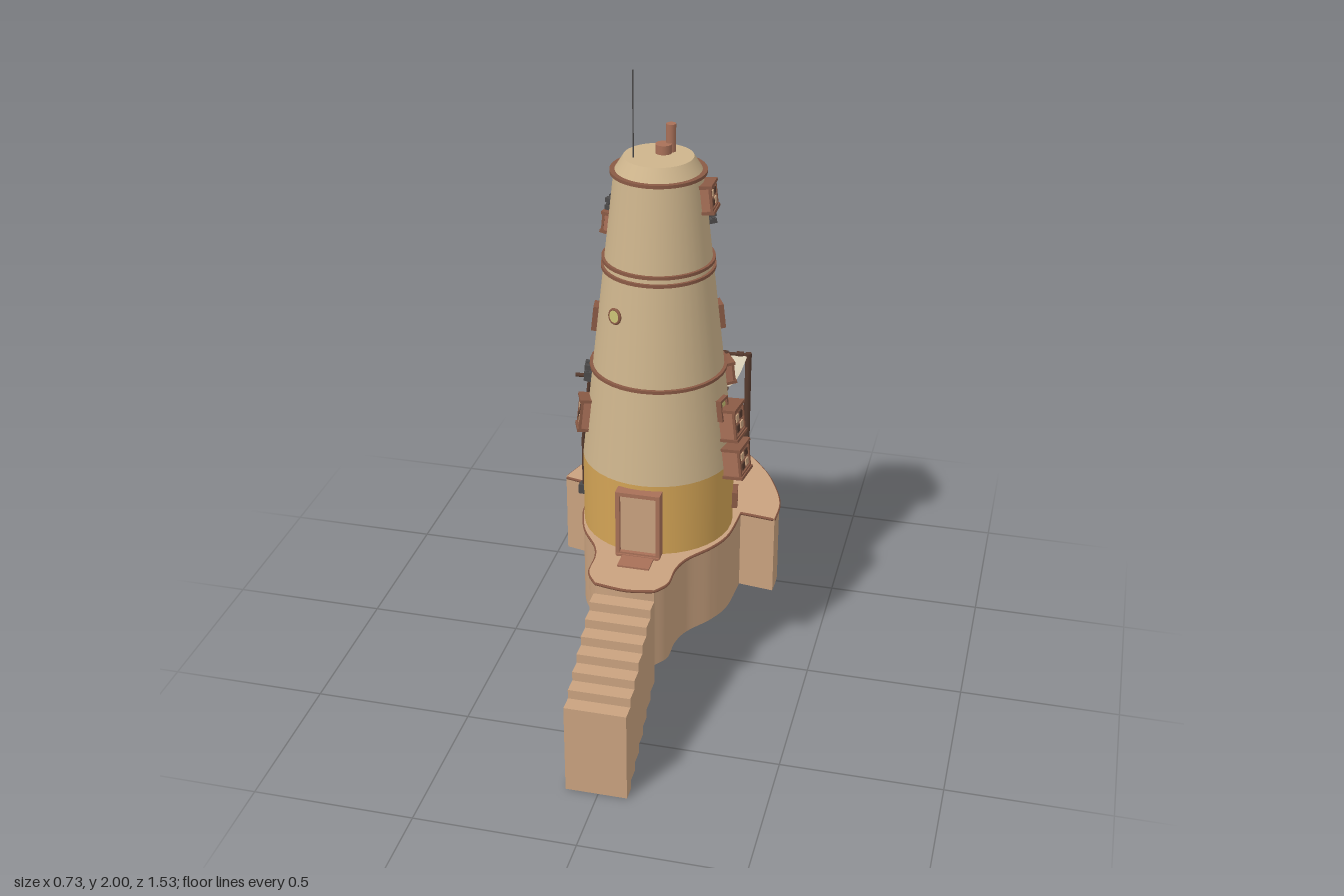
import * as THREE from 'three';

const mat = (color, double) => new THREE.MeshStandardMaterial({ color, side: double ? THREE.DoubleSide : THREE.FrontSide });
const M = {
  wall: mat(0xcdb48c), ochre: mat(0xd2a355), clay: mat(0xc9a27f), brown: mat(0xa87058), trim: mat(0x8a5a45),
  dark: mat(0x553a2e), metal: mat(0x4c4a4a), glass: mat(0xc4bd72), cloth: mat(0xdcd2ba, true),
};
const CX = -0.007, CZ = -0.022, TILT = 0.111;
const V = (x, y, z) => new THREE.Vector3(x, y, z);
const towerRadius = (y) => (y < 0.75 ? 0.238 : 0.238 - (y - 0.75) * 0.1117);

function add(parent, name, geo, material, x = 0, y = 0, z = 0) {
  const m = new THREE.Mesh(geo, material);
  m.name = name;
  m.position.set(x, y, z);
  parent.add(m);
  return m;
}
const box = (p, name, w, h, d, material, x, y, z) => add(p, name, new THREE.BoxGeometry(w, h, d), material, x, y, z);

// Straight round bar between two points
function bar(parent, name, a, b, r, material) {
  const m = add(parent, name, new THREE.CylinderGeometry(r, r, a.distanceTo(b), 8), material);
  m.position.copy(a).add(b).multiplyScalar(0.5);
  m.quaternion.setFromUnitVectors(V(0, 1, 0), b.clone().sub(a).normalize());
  return m;
}

// Group on the tower wall; degrees run from the front (+z) towards +x
function onWall(parent, name, deg, y) {
  const a = THREE.MathUtils.degToRad(deg), r = towerRadius(y), g = new THREE.Group();
  g.name = name;
  g.position.set(CX + Math.sin(a) * r, y, CZ + Math.cos(a) * r);
  g.rotation.set(y < 0.75 ? 0 : -TILT, a, 0, 'YXZ');
  parent.add(g);
  return g;
}

// Rectangular frame of four bars
function frame(g, w, h, t, d, z, material) {
  for (const s of [-1, 1]) {
    box(g, 'frameSide', t, h, d, material, s * (w - t) / 2, 0, z);
    box(g, 'frameRail', w, t, d, material, 0, s * (h - t) / 2, z);
  }
}

function wallWindow(parent, deg, y, w, h) {
  const g = onWall(parent, 'window', deg, y);
  box(g, 'pane', w * 0.9, h * 0.9, 0.016, M.glass, 0, 0, 0);
  frame(g, w, h, 0.008, 0.03, 0, M.trim);
}

// Projecting bay with hood, sill and small panes
function bay(parent, deg, y, w, h, d, cols = 2, rows = 2) {
  const g = onWall(parent, 'bay', deg, y);
  box(g, 'bayBody', w * 0.9, h * 0.9, d + 0.02, M.brown, 0, 0, d / 2 - 0.01);
  box(g, 'baySill', w, 0.01, d + 0.03, M.trim, 0, -h / 2, d / 2 - 0.007);
  box(g, 'bayHood', w, 0.01, d + 0.03, M.trim, 0, h / 2, d / 2 - 0.007);
  frame(g, w * 0.94, h * 0.94, 0.008, 0.008, d, M.trim);
  const pw = w * 0.7 / cols, ph = h * 0.7 / rows;
  for (let i = 0; i < cols; i++) for (let j = 0; j < rows; j++) {
    box(g, 'bayPane', pw * 0.65, ph * 0.65, 0.006, (i + j) % 2 ? M.clay : M.dark,
      (i - (cols - 1) / 2) * pw, (j - (rows - 1) / 2) * ph, d + 0.001);
  }
}

// Cluster of small pipes and vents
function vents(parent, deg, y) {
  const g = onWall(parent, 'vents', deg, y);
  for (const [x, v] of [[-0.012, 0.012], [0.013, 0.01], [-0.01, -0.012], [0.012, -0.014]])
    box(g, 'vent', 0.016, 0.014, 0.03, M.metal, x, v, 0.008);
  box(g, 'ventBar', 0.05, 0.005, 0.008, M.metal, 0, 0, 0.012);
}

function platform(root) {
  const curveTo = (s, pts) => s.splineThru(pts.map(([x, z]) => new THREE.Vector2(x, -z)));
  const s = new THREE.Shape();
  s.moveTo(-0.1, -0.41);
  curveTo(s, [[0, 0.425], [0.085, 0.41]]);
  curveTo(s, [[0.115, 0.36], [0.118, 0.28], [0.14, 0.21], [0.2, 0.125], [0.235, 0.04], [0.246, -0.1]]);
  s.lineTo(0.36, 0.085);
  curveTo(s, [[0.358, -0.18], [0.325, -0.28], [0.266, -0.39], [0.166, -0.5], [0, -0.555], [-0.16, -0.51],
    [-0.26, -0.41], [-0.325, -0.3], [-0.364, -0.186]]);
  s.lineTo(-0.25, 0.16);
  curveTo(s, [[-0.25, -0.02], [-0.238, 0.045], [-0.21, 0.125], [-0.157, 0.206], [-0.137, 0.267], [-0.133, 0.355], [-0.1, 0.41]]);
  const slab = new THREE.ExtrudeGeometry(s, { depth: 0.275, bevelEnabled: false, curveSegments: 40 });
  add(root, 'platform', slab.rotateX(-Math.PI / 2), M.clay, 0, 0.235, 0);
  // Thin dark edge along the top
  const pts = s.getPoints(12).map((p) => V(p.x, 0.505, -p.y));
  const path = new THREE.CurvePath();
  pts.forEach((p, i) => {
    const q = pts[(i + 1) % pts.length];
    if (p.distanceTo(q) > 1e-4) path.add(new THREE.LineCurve3(p, q));
  });
  add(root, 'platformRim', new THREE.TubeGeometry(path, 260, 0.005, 5, true), M.trim);
}

function tower(root) {
  const t = new THREE.Group();
  t.name = 'tower';
  root.add(t);
  add(t, 'lowerWall', new THREE.CylinderGeometry(0.238, 0.238, 0.25, 40, 1, true), M.ochre, CX, 0.625, CZ);
  add(t, 'upperWall', new THREE.CylinderGeometry(0.133, 0.238, 0.94, 40, 1, true), M.wall, CX, 1.22, CZ);
  add(t, 'roof', new THREE.CylinderGeometry(0.105, 0.133, 0.045, 40), M.wall, CX, 1.7125, CZ);
  for (const [y, r] of [[1.06, 0.213], [1.39, 0.174], [1.415, 0.172], [1.69, 0.145]])
    add(t, 'ring', new THREE.CylinderGeometry(r, r, 0.01, 40), M.trim, CX, y, CZ);

  // Chimney and mast
  add(t, 'chimneyBase', new THREE.CylinderGeometry(0.025, 0.025, 0.03, 16), M.brown, 0.002, 1.748, -0.048);
  add(t, 'chimney', new THREE.CylinderGeometry(0.015, 0.015, 0.085, 14), M.brown, 0.02, 1.778, -0.065);
  bar(t, 'mast', V(-0.075, 1.72, 0.012), V(-0.075, 2, 0.012), 0.002, M.metal);

  // Door, frame and step
  const door = new THREE.Group();
  door.name = 'door';
  door.position.set(-0.009, 0.623, 0.215);
  t.add(door);
  box(door, 'doorPanel', 0.12, 0.21, 0.03, M.clay, 0, 0, 0.002);
  frame(door, 0.14, 0.224, 0.013, 0.05, 0.005, M.brown);
  box(t, 'doorStep', 0.135, 0.008, 0.06, M.brown, -0.009, 0.514, 0.22);
  box(t, 'doorMat', 0.1, 0.006, 0.08, M.brown, -0.007, 0.513, 0.27);

  // Round front window
  const port = onWall(t, 'roundWindow', -31, 1.275);
  add(port, 'roundRim', new THREE.TorusGeometry(0.021, 0.005, 8, 24), M.trim, 0, 0, 0.006);
  add(port, 'roundPane', new THREE.CylinderGeometry(0.02, 0.02, 0.02, 24).rotateX(Math.PI / 2), M.glass);

  // Windows: degrees, height, width, height
  for (const w of [[116, 1.205, 0.05, 0.08], [203, 1.55, 0.04, 0.07], [76, 0.95, 0.05, 0.07], [99, 0.59, 0.058, 0.055],
    [168, 0.84, 0.07, 0.08], [155, 0.6, 0.06, 0.06], [205, 0.6, 0.06, 0.07], [280, 1.21, 0.05, 0.08]]) wallWindow(t, ...w);
  // Bays: degrees, height, width, height, depth, columns, rows
  for (const b of [[90, 1.62, 0.08, 0.08, 0.025], [82, 0.9, 0.09, 0.1, 0.045], [82, 0.77, 0.095, 0.095, 0.05],
    [120, 1.0, 0.065, 0.065, 0.025, 1, 1], [147, 0.69, 0.09, 0.1, 0.03, 3, 3], [222, 1.46, 0.05, 0.05, 0.025],
    [257, 1.5, 0.06, 0.06, 0.02], [215, 1.34, 0.06, 0.045, 0.03], [214, 1.26, 0.07, 0.1, 0.03, 2, 3],
    [186, 1.32, 0.05, 0.09, 0.012, 1, 2], [292, 0.9, 0.06, 0.1, 0.025]]) bay(t, ...b);
  for (const v of [[116, 1.53], [257, 1.56], [243, 1.55], [280, 1.03]]) vents(t, ...v);

  // Wall pipes with dark caps
  for (const [deg, top, low] of [[236, 0.9, 0.57], [268, 0.98, 0.57], [130, 0.735, 0.515]]) {
    const a = THREE.MathUtils.degToRad(deg);
    const p = (y) => V(CX + Math.sin(a) * (towerRadius(y) + 0.012), y, CZ + Math.cos(a) * (towerRadius(y) + 0.012));
    const mid = p(0.75);
    if (top > 0.75) bar(t, 'wallPipe', p(top), mid, 0.006, M.dark);
    bar(t, 'wallPipe', top > 0.75 ? mid : p(top), p(low), 0.006, M.dark);
    if (top > 0.75) for (const y of [top, low]) box(onWall(t, 'pipeCap', deg, y), 'cap', 0.028, 0.032, 0.03, M.metal, 0, 0, 0.012);
  }
}

function stairs(root) {
  const g = new THREE.Group();
  g.name = 'stairs';
  root.add(g);
  const n = 7, d = 0.0486;
  for (let i = 0; i < n; i++) box(g, 'step', 0.19, 0.298, d, M.clay, -0.006, 0.149 + i * 0.0302, 0.765 - (i + 0.5) * d);
}

function awning(root) {
  const g = new THREE.Group();
  g.name = 'awning';
  root.add(g);
  // Sagging cloth between four corners
  const c = [V(-0.305, 0.92, -0.145), V(0.175, 0.92, -0.16), V(-0.325, 0.81, -0.595), V(0.157, 0.81, -0.62)];
  const geo = new THREE.PlaneGeometry(1, 1, 16, 12), pos = geo.attributes.position;
  for (let i = 0; i < pos.count; i++) {
    const u = pos.getX(i) + 0.5, v = pos.getY(i) + 0.5;
    const p = c[0].clone().lerp(c[1], u).lerp(c[2].clone().lerp(c[3], u), v);
    p.y -= 0.03 * Math.sin(Math.PI * v) + 0.008 * Math.sin(Math.PI * u) * v;
    pos.setXYZ(i, p.x, p.y, p.z);
  }
  geo.computeVertexNormals();
  add(g, 'cloth', geo, M.cloth);

  // Beams and lashings
  bar(g, 'backBeam', V(-0.34, 0.808, -0.605), V(0.17, 0.808, -0.63), 0.007, M.dark);
  bar(g, 'wallBeam', V(-0.31, 0.92, -0.14), V(-0.18, 0.92, -0.147), 0.007, M.dark);
  bar(g, 'wallBeam', V(0.13, 0.92, -0.158), V(0.185, 0.92, -0.16), 0.007, M.dark);
  for (let i = 0; i < 9; i++) {
    const u = (i + 0.5) / 9;
    box(g, 'lashing', 0.025, 0.02, 0.022, M.dark, -0.325 + u * 0.482, 0.807, -0.6 - u * 0.025);
  }
  // Posts, feet and guy ropes
  for (const [x, z, gx, gz] of [[-0.325, -0.598, -0.33, -0.735], [0.16, -0.622, 0.145, -0.763]]) {
    bar(g, 'post', V(x, 0.33, z), V(x, 0.82, z), 0.011, M.dark);
    const foot = add(g, 'foot', new THREE.CylinderGeometry(0.022, 0.024, 0.018, 14), M.dark, x, 0.329, z - 0.008);
    foot.scale.z = 1.8;
    bar(g, 'guyRope', V(x, 0.81, z), V(gx, 0.32, gz), 0.0025, M.dark);
  }
}

export function createModel() {
  const root = new THREE.Group();
  root.name = 'towerHouse';
  platform(root);
  stairs(root);
  tower(root);
  awning(root);
  return root;
}
